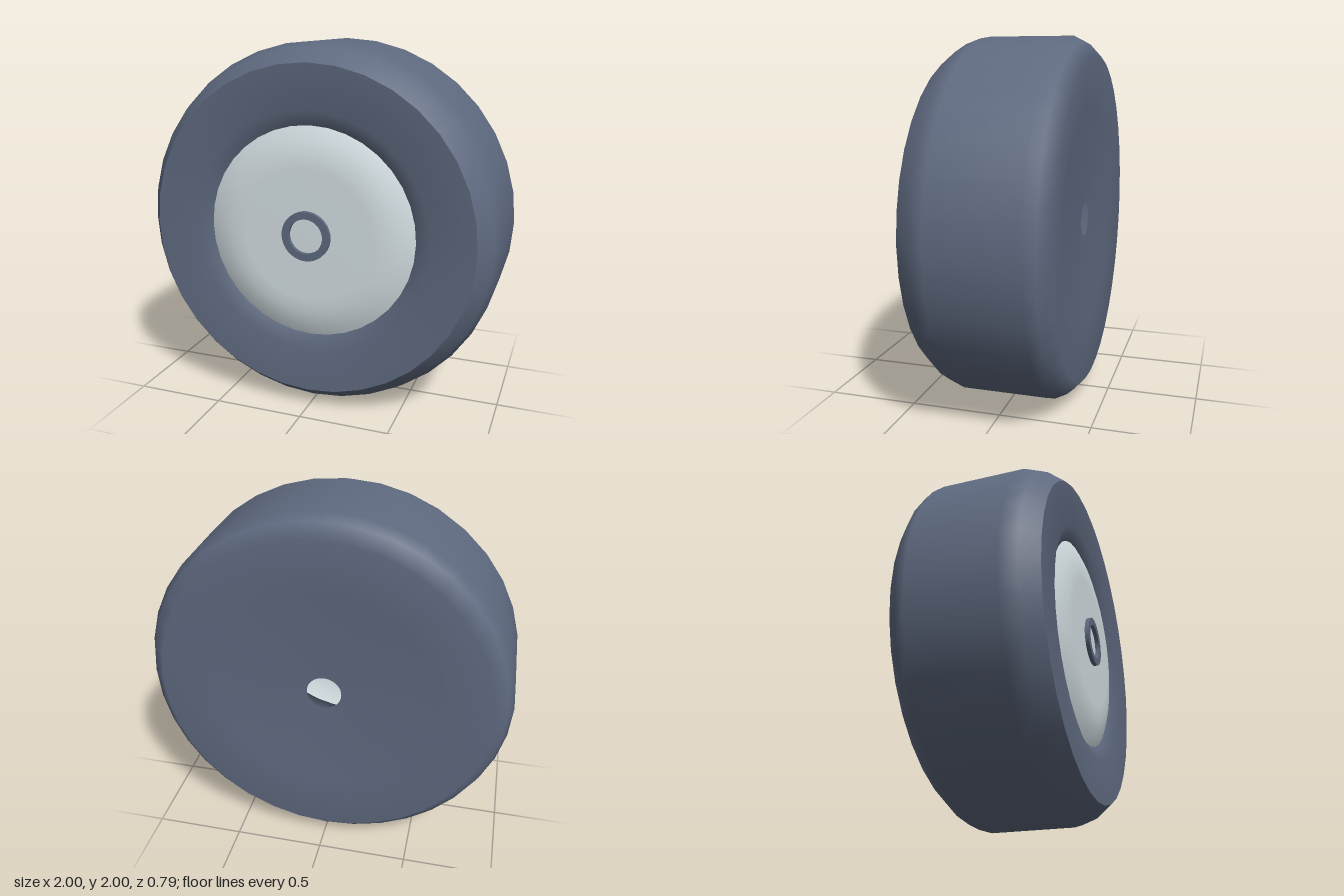
import * as THREE from 'three';

const SIDES = 36;

export function createModel() {
  const rubber = new THREE.MeshStandardMaterial({ color: 0x5f6a80, side: THREE.DoubleSide });
  const metal = new THREE.MeshStandardMaterial({ color: 0xd5e0e4, side: THREE.DoubleSide });

  const wheel = new THREE.Group();
  wheel.name = 'wheel';
  wheel.position.y = 1;

  // Revolves [radius, z] pairs, listed from back to front, about the axle
  function revolve(name, profile, material) {
    const points = profile.map(([r, z]) => new THREE.Vector2(r, z));
    const geometry = new THREE.LatheGeometry(points, SIDES).rotateX(Math.PI / 2);
    const mesh = new THREE.Mesh(geometry, material);
    mesh.name = name;
    wheel.add(mesh);
  }

  // Dished back with an open axle hole, running smoothly into the tread
  revolve('tyreBackAndTread', [
    [0.095, -0.345], [0.62, -0.362], [0.9, -0.395], [0.97, -0.33],
    [1, -0.27], [1, 0.2], [0.97, 0.285], [0.9, 0.375],
  ], rubber);

  // Front sidewall, sinking towards the rim
  revolve('tyreSidewall', [[0.9, 0.375], [0.66, 0.365], [0.58, 0.325]], rubber);

  // Raised rim disc
  revolve('rim', [[0.58, 0.325], [0.52, 0.35], [0.44, 0.37], [0.36, 0.373], [0, 0.373]], metal);

  // Hub ring: separate strips keep its edges sharp
  revolve('hubRingOutside', [[0.135, 0.37], [0.135, 0.395]], rubber);
  revolve('hubRingFace', [[0.135, 0.395], [0.095, 0.395]], rubber);
  revolve('hubRingInside', [[0.095, 0.395], [0.095, 0.37]], rubber);

  const model = new THREE.Group();
  model.name = 'wheelModel';
  model.add(wheel);
  return model;
}
